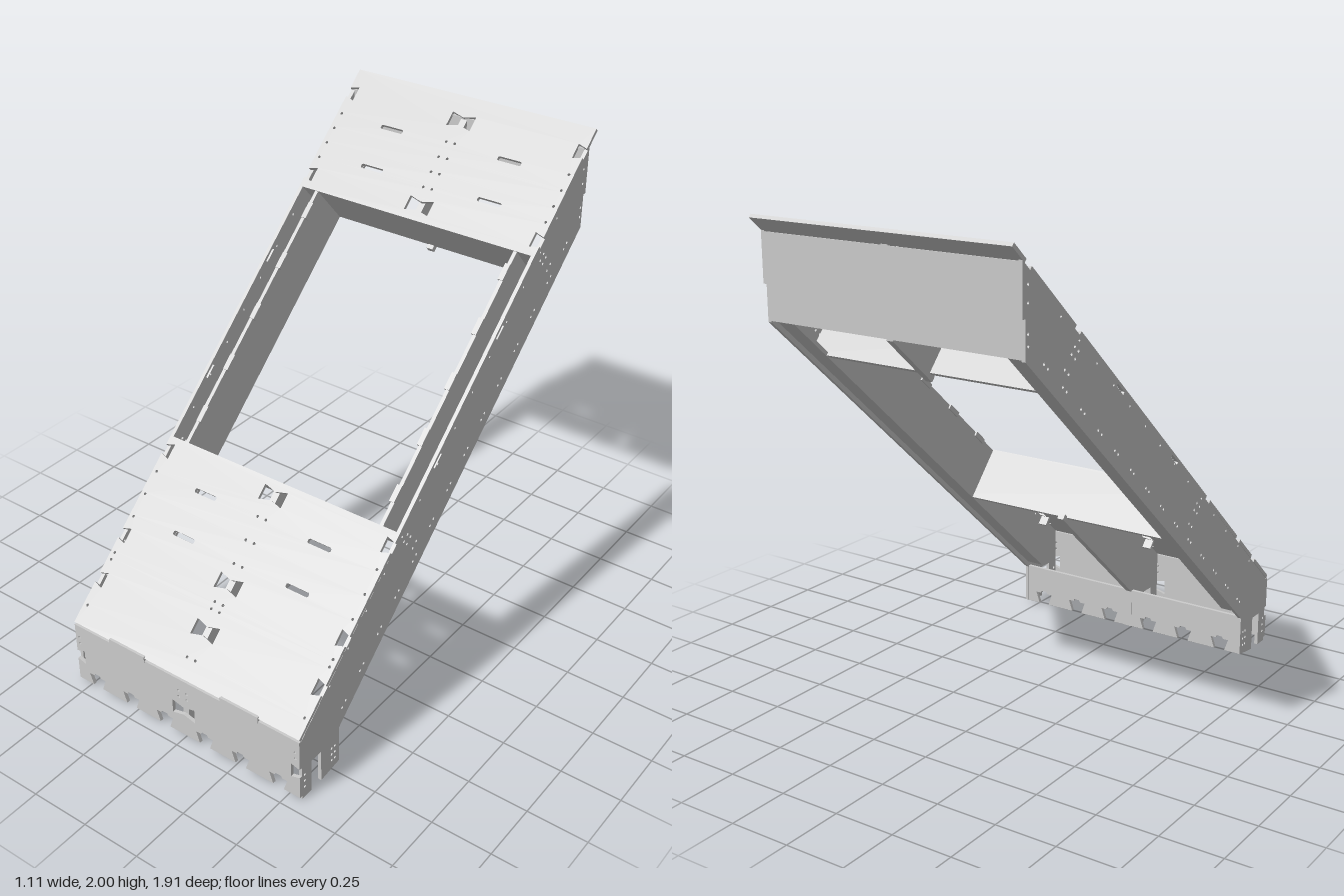
import * as THREE from 'three';

const T = 0.015;                 // sheet thickness
const W = 0.555;                 // half width
const A = Math.atan2(1.7, 1.9);  // slope of the frame
const C = Math.cos(A), S = Math.sin(A);
const mat = new THREE.MeshStandardMaterial({ color: 0xcccccc, side: THREE.DoubleSide });

// point on the sloped frame: u runs up the slope, w is the offset along its normal; gives [z, y]
const P = (u, w) => [0.95 - C * u + S * w, 0.30 + S * u + C * w];

const toShape = (pts) => new THREE.Shape(pts.map(([a, b]) => new THREE.Vector2(a, b)));
const toHole = (pts) => new THREE.Path(pts.map(([a, b]) => new THREE.Vector2(a, b)));
const dot = (x, y, r = 0.006) => toHole(Array.from({ length: 8 }, (_, i) => {
  const t = i * Math.PI / 4;
  return [x + r * Math.cos(t), y + r * Math.sin(t)];
}));

export function createModel() {
  const model = new THREE.Group();
  const slope = new THREE.Group();   // local x across, y up the slope, z outward
  slope.name = 'slopedParts';
  slope.position.set(0, 0.30, 0.95);
  slope.rotation.x = A - Math.PI / 2;
  model.add(slope);

  const add = (parent, name, geo) => {
    const m = new THREE.Mesh(geo, mat);
    m.name = name;
    parent.add(m);
    return m;
  };
  const box = (parent, name, x0, x1, y0, y1, z0, z1) => add(parent, name,
    new THREE.BoxGeometry(x1 - x0, y1 - y0, z1 - z0)
      .translate((x0 + x1) / 2, (y0 + y1) / 2, (z0 + z1) / 2));
  const extrude = (shape, depth) => new THREE.ExtrudeGeometry(shape, { depth, bevelEnabled: false });
  // plate cut from a (z, y) profile, filling x0..x1
  const profilePlate = (name, pts, x0, x1, holes = []) => {
    const s = toShape(pts);
    s.holes.push(...holes);
    add(model, name, extrude(s, x1 - x0).rotateY(-Math.PI / 2).translate(x1, 0, 0));
  };

  // face panel with bow-tie cut-outs, half ones on the edges, slots, dots and dovetail teeth
  function panelShape(w, y0, y1, { bows = [], slots = [], dots = [], teeth = [] }) {
    const edge = [[w, y0]];
    for (const b of [...bows].sort((p, q) => p - q)) {
      edge.push([w, b - 0.02], [w - 0.04, b - 0.032], [w - 0.04, b + 0.032], [w, b + 0.02]);
    }
    edge.push([w, y1]);
    const pts = [...edge, ...edge.map(([x, y]) => [-x, y]).reverse()];
    for (const t of teeth) {
      pts.push([t - 0.025, y0], [t - 0.042, y0 + 0.05], [t - 0.018, y0 + 0.05], [t - 0.012, y0 + 0.06],
        [t + 0.012, y0 + 0.06], [t + 0.018, y0 + 0.05], [t + 0.042, y0 + 0.05], [t + 0.025, y0]);
    }
    const s = toShape(pts);
    for (const b of bows) {
      s.holes.push(toHole([[-0.055, b - 0.032], [0, b - 0.018], [0.055, b - 0.032],
        [0.055, b + 0.032], [0, b + 0.018], [-0.055, b + 0.032]]));
    }
    for (const side of [-1, 1]) {
      for (const y of slots) {
        const x = side * 0.277;
        s.holes.push(toHole([[x - 0.053, y - 0.005], [x - 0.048, y - 0.009], [x + 0.048, y - 0.009],
          [x + 0.053, y - 0.005], [x + 0.053, y + 0.005], [x + 0.048, y + 0.009],
          [x - 0.048, y + 0.009], [x - 0.053, y + 0.005]]));
      }
      for (const y of dots) s.holes.push(dot(side * 0.02, y), dot(side * 0.535, y));
    }
    return s;
  }

  // sloped cover panels
  const covers = [
    ['lowerCover', 0, 0.825, { bows: [0.195, 0.39, 0.765], slots: [0.48, 0.665], dots: [0.08, 0.28, 0.31, 0.47, 0.57, 0.67] }],
    ['upperCover', 1.986, 2.55, { bows: [2.05, 2.44], slots: [2.145, 2.33], dots: [2.13, 2.2, 2.27, 2.34] }],
  ];
  for (const [name, u0, u1, opt] of covers) {
    add(slope, name, extrude(panelShape(W, u0, u1, opt), T).translate(0, 0, -T));
    // lock tabs standing under each cut-out
    for (const b of opt.bows) {
      for (const x of [-0.52, -0.037, 0.037, 0.52]) {
        box(slope, 'lockTab', x - 0.02, x + 0.02, b - 0.045, b - 0.033, -0.055, -T);
      }
    }
  }

  // walls across both ends of the opening
  box(slope, 'lowerCrossWall', -0.54, 0.54, 0.81, 0.825, -0.23, -T);
  box(slope, 'upperCrossWall', -0.54, 0.54, 1.986, 2.001, -0.23, -T);

  // side channels around the opening
  for (const s of [-1, 1]) {
    const name = s > 0 ? 'left' : 'right';
    const span = (a, b) => s > 0 ? [a, b] : [-b, -a];
    box(slope, name + 'InnerWall', ...span(0.463, 0.478), 0.825, 1.986, -0.23, -0.004);
    box(slope, name + 'ChannelFloor', ...span(0.463, 0.54), 0.12, 2.25, -0.232, -0.217);
    for (let i = 0; i < 5; i++) {
      const u = 0.92 + i * 0.235;
      box(slope, name + 'EdgeTab', ...span(0.456, 0.478), u, u + 0.07, -0.02, 0);
    }
  }

  // front foot panel and the rear foot wall
  const teeth = [-0.455, -0.275, -0.1, 0.1, 0.275, 0.455];
  const front = panelShape(W, 0.015, 0.287, { bows: [0.135], dots: [0.2, 0.23], teeth });
  add(model, 'frontPanel', extrude(front, T).translate(0, 0, 0.935));
  const rearFoot = panelShape(0.54, 0.015, 0.185, { teeth });
  add(model, 'rearFootWall', extrude(rearFoot, T).translate(0, 0, 0.712));
  for (const x of [-0.277, 0.277]) {
    box(model, 'frontEdgeTab', x - 0.09, x + 0.09, 0.28, 0.307, 0.937, 0.953);
  }

  // stepped back panels
  box(model, 'upperBackPanel', -0.54, 0.54, 1.75, 1.935, -0.905, -0.89);
  box(model, 'lowerBackPanel', -0.54, 0.54, 1.615, 1.75, -0.89, -0.875);

  // foot outline shared by the sides and the centre rib
  const foot = [[0.71, 0.18], [0.71, 0.015], [0.82, 0.0], [0.82, 0.145], [0.88, 0.145],
    [0.88, 0.0], [0.935, 0.0], [0.935, 0.29]];
  const backEdge = [[-0.905, 1.94], [-0.905, 1.75], [-0.89, 1.75], [-0.89, 1.61]];

  // side plates
  const outline = [...foot, P(0.825, -T), P(0.825, 0), P(1.986, 0), P(1.986, -T), ...backEdge];
  const sideHoles = [];
  for (let i = 0; i < 14; i++) {
    const u = 0.17 + i * 0.15;
    for (const du of [0, 0.03]) sideHoles.push(dot(...P(u + du, -0.2)));
    sideHoles.push(dot(...P(u + 0.05, -0.03), 0.005));
  }
  for (const u of [0.81, 2.0]) {
    for (const w of [-0.06, -0.09, -0.15]) {
      for (const du of [0, 0.03]) sideHoles.push(dot(...P(u + du, w)));
    }
  }
  for (const u of [1.13, 1.67]) {
    sideHoles.push(toHole([P(u - 0.03, -0.012), P(u + 0.03, -0.012), P(u + 0.03, -0.024), P(u - 0.03, -0.024)]));
  }
  for (const y of [0.05, 0.08, 0.11]) {
    sideHoles.push(dot(0.735, y), dot(0.755, y), dot(0.92, y));
  }
  for (const y of [1.66, 1.7, 1.8, 1.86]) sideHoles.push(dot(-0.875, y));
  profilePlate('leftSidePlate', outline, 0.54, W, sideHoles);
  profilePlate('rightSidePlate', outline, -W, -0.54, sideHoles);

  // centre ribs with small end tabs showing past the cross walls
  profilePlate('lowerCentreRib', [...foot, P(0.81, -T), P(0.81, -0.225), P(0.845, -0.225),
    P(0.845, -0.249)], -0.014, 0.014);
  profilePlate('upperCentreRib', [P(2.0, -T), ...backEdge, P(1.968, -0.249), P(1.968, -0.225),
    P(2.0, -0.225)], -0.014, 0.014);

  return model;
}
